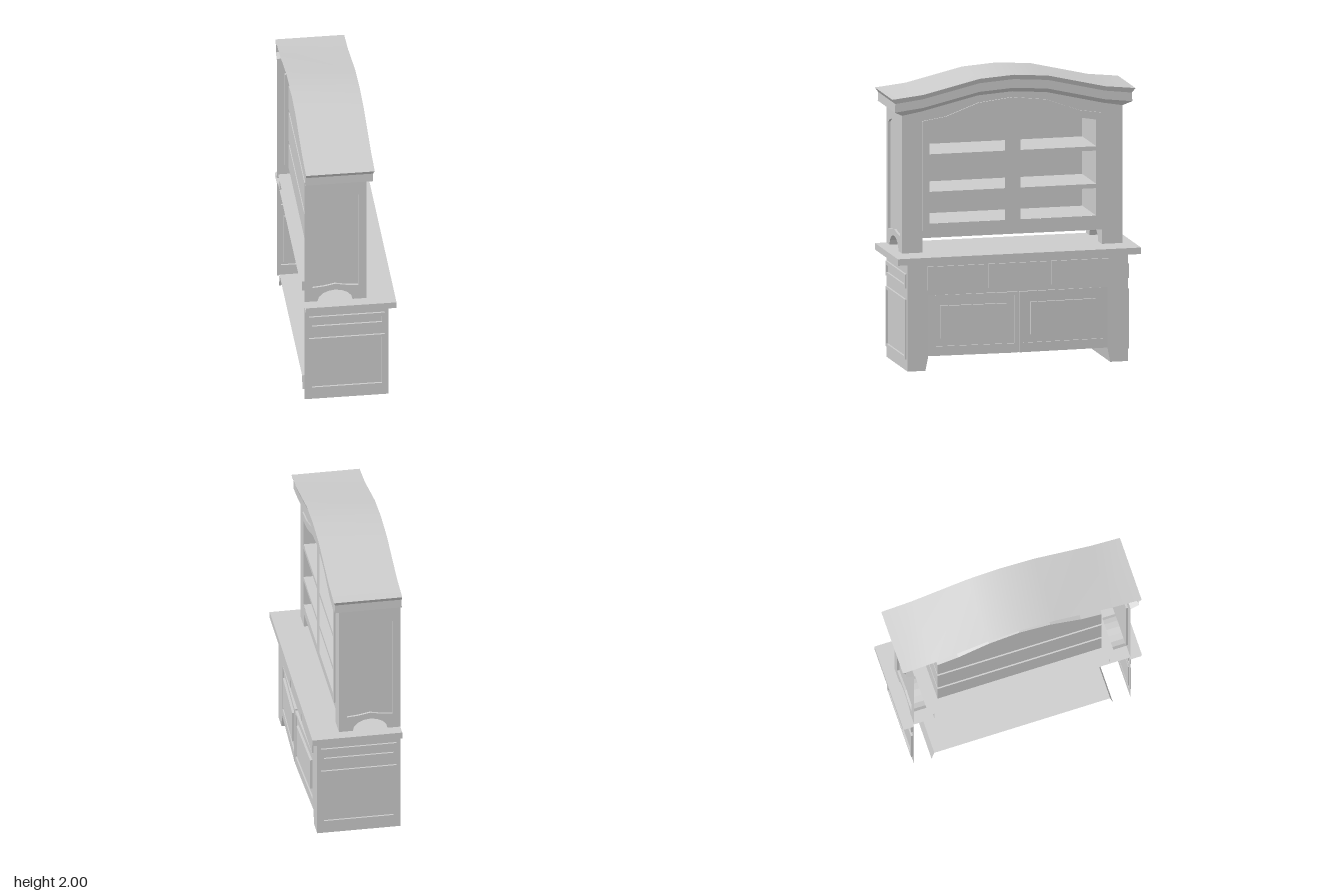
import * as THREE from 'three';
import { mergeVertices } from 'three/addons/utils/BufferGeometryUtils.js';

const mat = new THREE.MeshStandardMaterial({ color: 0xcccccc, flatShading: true, side: THREE.DoubleSide });
const smoothMat = new THREE.MeshStandardMaterial({ color: 0xcccccc, side: THREE.DoubleSide });

function add(parent, name, geo, material = mat) {
  const m = new THREE.Mesh(geo, material);
  m.name = name;
  parent.add(m);
}

const rect = (a, b, c, d) => [[a, b], [c, b], [c, d], [a, d]];

// Flat sheet with holes at the local z = out
function sheet(pts, holes, out) {
  const s = new THREE.Shape(pts.map(p => new THREE.Vector2(...p)));
  holes.forEach(h => s.holes.push(new THREE.Path(h.map(p => new THREE.Vector2(...p)))));
  return new THREE.ShapeGeometry(s).translate(0, 0, out);
}
// The same, turned to face +x (local x becomes -z)
const frontSheet = (...a) => sheet(...a).rotateY(Math.PI / 2);

// Surface through rows of points
function skin(rows) {
  const v = [];
  for (let i = 0; i < rows.length - 1; i++)
    for (let j = 0; j < rows[i].length - 1; j++) {
      const a = rows[i][j], b = rows[i][j + 1], c = rows[i + 1][j + 1], d = rows[i + 1][j];
      v.push(...a, ...b, ...c, ...a, ...c, ...d);
    }
  const g = new THREE.BufferGeometry();
  g.setAttribute('position', new THREE.Float32BufferAttribute(v, 3));
  g.computeVertexNormals();
  return g;
}
// Surface through closed loops
const rings = loops => skin(loops.map(l => [...l, l[0]]));
// Walls of an outline [z, y] between two x positions
const walls = (loop, x0, x1) => rings([x0, x1].map(x => loop.map(([z, y]) => [x, y, z])));

// Mirror a half profile [z, y] running from the edge to the middle
const mirror = half => [...half, ...half.slice(0, -1).reverse().map(([z, y]) => [-z, y])];

const BACK = -0.308, SIDE = 0.775, BASE_X = 0.266, TOP_X = 0.115;
const roofLine = mirror([[0.855, 1.867], [0.64, 1.89], [0.24, 1.983], [0, 2.0]]);

const floorPlate = (x0, x1, y, half) => new THREE.PlaneGeometry(x1 - x0, 2 * half)
  .rotateX(-Math.PI / 2).translate((x0 + x1) / 2, y, 0);

function buildBase(root) {
  const base = new THREE.Group();
  base.name = 'baseCabinet';
  root.add(base);

  // Face with two front feet, open behind doors and drawers
  const drawers = [[-0.635, -0.24], [-0.21, 0.205], [0.235, 0.635]].map(([a, b]) => rect(a, 0.555, b, 0.72));
  add(base, 'baseFront', frontSheet([
    [-SIDE, 0], [-0.65, 0], [-0.63, 0.1], [-0.63, 0.52], [0.63, 0.52], [0.63, 0.1], [0.65, 0], [SIDE, 0],
    [SIDE, 0.745], [-SIDE, 0.745]], drawers, BASE_X));
  add(base, 'doorGap', frontSheet(rect(-0.008, 0.1, 0.008, 0.52), [], BASE_X));
  for (const d of drawers) {
    add(base, 'drawerFront', frontSheet(d, [], 0.277));
    add(base, 'drawerEdge', walls(d.map(([z, y]) => [-z, y]), BASE_X, 0.277));
  }

  // Doors standing slightly ajar at the middle, with a sunk border and raised field
  for (const s of [1, -1]) {
    const ring = (a, b, c, d, h, tilt = 0.033) => rect(a, b, c, d)
      .map(([z, y]) => [BASE_X + tilt * (0.63 - z) + h, y, s * z]);
    const field = ring(0.085, 0.22, 0.547, 0.445, 0.006);
    add(base, 'door', rings([
      ring(0.008, 0.1, 0.63, 0.52, 0, 0), ring(0.008, 0.1, 0.63, 0.52, 0),
      ring(0.03, 0.165, 0.6, 0.5, 0), ring(0.03, 0.165, 0.6, 0.5, -0.01),
      ring(0.085, 0.22, 0.547, 0.445, -0.01), field]));
    add(base, 'doorField', skin([[field[0], field[1]], [field[3], field[2]]]));
  }

  // Sides with frame mouldings, and the inner walls of the feet
  const mouldings = [[0.57, 0.67, 0.025], [0.08, 0.495, 0.02]];
  for (const s of [1, -1]) {
    const side = new THREE.Group();
    side.name = s > 0 ? 'baseLeftSide' : 'baseRightSide';
    side.scale.z = s;
    base.add(side);
    const outlines = mouldings.map(([y0, y1]) => rect(-0.28, y0, 0.24, y1));
    add(side, 'sidePanel', sheet(rect(BACK, 0, BASE_X, 0.745), outlines, SIDE));
    mouldings.forEach(([y0, y1, w], i) => {
      const inner = rect(-0.26, y0 + w, 0.22, y1 - w);
      const at = (loop, z) => loop.map(([x, y]) => [x, y, z]);
      add(side, 'moulding', rings([at(outlines[i], SIDE), at(outlines[i], 0.788),
        at(inner, 0.788), at(inner, SIDE)]));
      add(side, 'mouldingField', sheet(inner, [], SIDE));
    });
    add(side, 'footInnerWall', skin([[[BACK, 0.1, 0.63], [BASE_X, 0.1, 0.63]],
      [[BACK, 0, 0.65], [BASE_X, 0, 0.65]]]));
  }
  add(base, 'baseFloor', floorPlate(BACK, BASE_X, 0.1, 0.63));

  // Worktop shell, open at the back, with its underside only at the overhang
  const edge = (x, z, y) => [[BACK, y, z], [x, y, z], [x, y, -z], [BACK, y, -z]];
  add(base, 'worktop', floorPlate(BACK, 0.312, 0.79, 0.855));
  add(base, 'worktopEdge', skin([edge(0.312, 0.855, 0.79), edge(0.312, 0.855, 0.745),
    edge(BASE_X, SIDE, 0.745)]));
}

function buildHutch(root) {
  const hutch = new THREE.Group();
  hutch.name = 'hutch';
  root.add(hutch);

  // Face frame, notched above the worktop and following the roof line
  const headLine = mirror([[SIDE, 1.765], [0.63, 1.79], [0.24, 1.883], [0, 1.9]]);
  const doorOutline = [[-0.635, 0.94], [0.635, 0.94],
    ...mirror([[0.635, 1.7], [0.47, 1.725], [0.24, 1.81], [0, 1.838]])];
  add(hutch, 'faceFrame', frontSheet([[-SIDE, 0.79], [-0.63, 0.79], [-0.63, 0.89],
    [0.63, 0.89], [0.63, 0.79], [SIDE, 0.79], ...headLine], [doorOutline], TOP_X));

  // Arched pair of doors with three openings each
  const holes = [];
  for (const s of [1, -1])
    holes.push(rect(s * 0.055, 0.99, s * 0.585, 1.18), rect(s * 0.055, 1.21, s * 0.585, 1.44),
      [[0.055, 1.47], [0.585, 1.47], [0.585, 1.655], [0.44, 1.68], [0.22, 1.762], [0.055, 1.785]]
        .map(([z, y]) => [s * z, y]));
  add(hutch, 'glazedDoors', frontSheet(doorOutline, holes, 0.125));
  add(hutch, 'doorEdge', walls(doorOutline, TOP_X, 0.125));

  // Shelf compartments, open to the front
  const flat = y => [[0.588, y], [-0.588, y]];
  const cells = [[0.99, flat(1.18)], [1.21, flat(1.44)],
    [1.47, mirror([[0.588, 1.656], [0.44, 1.682], [0.22, 1.765], [0, 1.797]])]];
  for (const [y, top] of cells) {
    const loop = [[-0.588, y], [0.588, y], ...top];
    add(hutch, 'compartmentBack', frontSheet(loop, [], -0.25));
    add(hutch, 'compartmentWalls', walls(loop, -0.25, 0.124));
  }
  add(hutch, 'hutchFloor', floorPlate(-0.312, TOP_X, 0.89, 0.67));

  // Sides with an arched foot and a sunk arched panel
  const arch = [];
  for (let i = 0; i <= 8; i++) {
    const t = Math.PI * i / 8;
    arch.push([-0.1 - 0.12 * Math.cos(t), 0.79 + 0.085 * Math.sin(t)]);
  }
  const field = [[-0.255, 0.9], [-0.175, 0.907], [-0.1, 0.922], [-0.02, 0.907], [0.06, 0.9],
    [0.06, 1.635], [0.02, 1.66], [-0.04, 1.675], [-0.1, 1.68], [-0.155, 1.675], [-0.215, 1.66], [-0.255, 1.635]];
  for (const s of [1, -1]) {
    const side = new THREE.Group();
    side.name = s > 0 ? 'hutchLeftSide' : 'hutchRightSide';
    side.scale.z = s;
    hutch.add(side);
    const foot = [[BACK, 0.79], ...arch, [TOP_X, 0.79]];
    add(side, 'sideFrame', sheet([...foot, [TOP_X, 1.76], [BACK, 1.76]], [field], SIDE));
    add(side, 'sunkPanel', sheet(field, [], SIDE - 0.015));
    add(side, 'sunkEdge', rings([SIDE, SIDE - 0.015].map(z => field.map(([x, y]) => [x, y, z]))));
    add(side, 'footInner', sheet([...foot, [TOP_X, 0.89], [BACK, 0.89]], [], 0.63));
    add(side, 'footArch', skin([SIDE, 0.63].map(z => arch.map(([x, y]) => [x, y, z]))));
  }
}

function buildCornice(root) {
  const cornice = new THREE.Group();
  cornice.name = 'cornice';
  root.add(cornice);

  // Moulding profile rows: front x, half length z, drop below the roof line
  const profile = [[0.163, 0.855, 0], [0.153, 0.832, 0.032], [0.153, 0.835, 0.092], [TOP_X, SIDE, 0.123]];
  const rows = profile.map(([x, half, drop]) => {
    const line = roofLine.map(([z, y]) => [x, y - drop, Math.abs(z) > 0.8 ? Math.sign(z) * half : z]);
    const a = line[0], b = line[line.length - 1];
    return [[BACK, a[1], a[2]], ...line, [BACK, b[1], b[2]]];
  });
  add(cornice, 'corniceMoulding', skin(rows.reverse()));

  // Curved roof sheet with smooth shading
  const roof = skin([0.163, BACK].map(x => roofLine.map(([z, y]) => [x, y, z])));
  roof.deleteAttribute('normal');
  const smoothRoof = mergeVertices(roof);
  smoothRoof.computeVertexNormals();
  add(cornice, 'roof', smoothRoof, smoothMat);
}

export function createModel() {
  const root = new THREE.Group();
  root.name = 'dresser';
  buildBase(root);
  buildHutch(root);
  buildCornice(root);
  return root;
}
